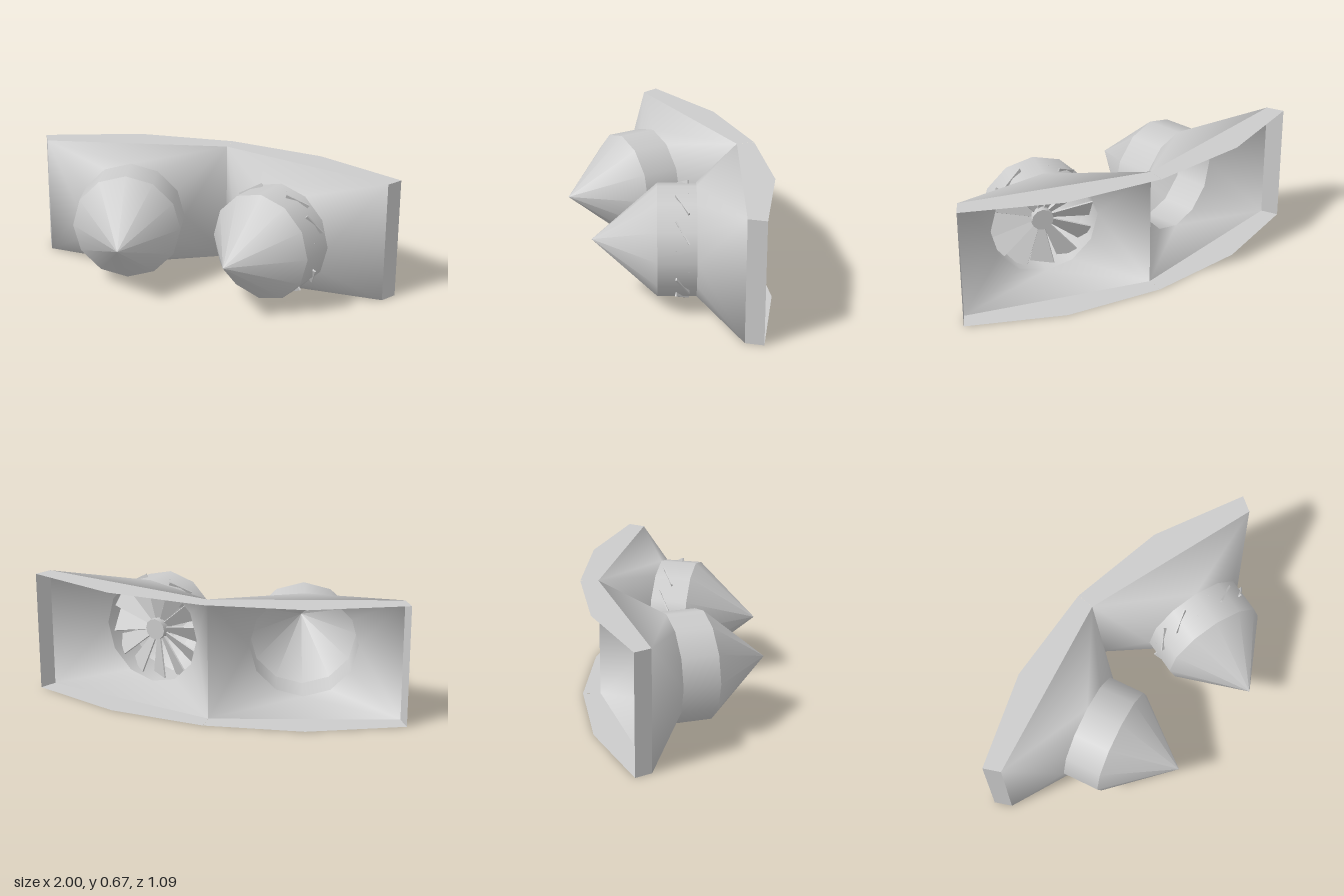
import * as THREE from 'three';

const W = 0.51, H = 0.3325;      // half width and half height of the duct mouth
const R = 0.295, SIDES = 12;     // barrel radius and facets
const MOUTH = -0.38, NECK = -0.15, LIP = 0.05, TIP = 0.39;

const grey = new THREE.MeshStandardMaterial({ color: 0xcccccc, side: THREE.DoubleSide });

function add(parent, name, geometry) {
  const mesh = new THREE.Mesh(geometry, grey);
  mesh.name = name;
  parent.add(mesh);
  return mesh;
}

// Rectangle-to-round transition: a fan at every corner, a triangle on every side
function transitionGeometry() {
  const pos = [W, H, MOUTH, -W, H, MOUTH, -W, -H, MOUTH, W, -H, MOUTH];
  const index = [];
  for (let i = 0; i < SIDES; i++) {
    const a = (i / SIDES) * Math.PI * 2;
    pos.push(R * Math.cos(a), R * Math.sin(a), NECK);
  }
  const ring = i => 4 + (i % SIDES);
  for (let k = 0; k < 4; k++) {
    for (let j = 0; j < 3; j++) index.push(k, ring(k * 3 + j + 1), ring(k * 3 + j));
    index.push(k, (k + 1) % 4, ring(k * 3 + 3));
  }
  const g = new THREE.BufferGeometry();
  g.setAttribute('position', new THREE.Float32BufferAttribute(pos, 3));
  g.setIndex(index);
  g.computeVertexNormals();
  return g;
}

// Thin top/bottom plate with a shallow peaked rear edge
function plateGeometry() {
  const outline = [[-W, -MOUTH], [W, -MOUTH], [0.535, 0.475], [0, 0.55], [-0.535, 0.475]];
  const shape = new THREE.Shape(outline.map(p => new THREE.Vector2(...p)));
  return new THREE.ShapeGeometry(shape).rotateX(-Math.PI / 2).translate(0, H, 0);
}

// Tapered, pitched fan blade pointing up
function bladeGeometry(tip) {
  const root = 0.04;
  const g = new THREE.BoxGeometry(1, tip - root, 0.008);
  const p = g.attributes.position;
  for (let i = 0; i < p.count; i++) p.setX(i, p.getX(i) * (p.getY(i) > 0 ? 0.135 : 0.03));
  g.translate(0, (tip + root) / 2, 0).rotateY(Math.PI / 6);
  g.computeVertexNormals();
  return g;
}

function createFan() {
  const fan = new THREE.Group();
  fan.name = 'fan';
  add(fan, 'fanHub', new THREE.CylinderGeometry(0.06, 0.06, 0.08, SIDES).rotateX(Math.PI / 2));
  for (let i = 0; i < SIDES; i++) {
    const blade = add(fan, 'fanBlade', bladeGeometry(i % 3 ? 0.3 : 0.28));
    blade.rotation.z = (i / SIDES) * Math.PI * 2;
  }
  fan.position.z = -0.077;
  return fan;
}

// One duct with its pointed barrel; side is the end closed by a wall
function createDuct(name, side) {
  const duct = new THREE.Group();
  duct.name = name;
  add(duct, 'transition', transitionGeometry());
  add(duct, 'barrel', new THREE.CylinderGeometry(R, R, LIP - NECK, SIDES, 1, true)
    .rotateX(Math.PI / 2).translate(0, 0, (LIP + NECK) / 2));
  add(duct, 'noseCone', new THREE.ConeGeometry(R, TIP - LIP, SIDES, 1, true)
    .rotateX(Math.PI / 2).translate(0, 0, (TIP + LIP) / 2));
  add(duct, 'topPlate', plateGeometry());
  add(duct, 'bottomPlate', plateGeometry().rotateZ(Math.PI));
  const wall = add(duct, 'endWall', new THREE.PlaneGeometry(Math.hypot(0.025, 0.095), 2 * H));
  wall.position.set(side * 0.5225, 0, -0.4275);
  wall.rotation.y = side * Math.atan2(0.095, 0.025);
  return duct;
}

export function createModel() {
  const model = new THREE.Group();
  model.name = 'twinDuct';

  // Straight duct with the fan
  const left = createDuct('leftDuct', 1);
  left.position.set(0.46, H, 0);
  left.add(createFan());

  // Empty duct, swung 30 degrees about the shared mouth edge
  const hinge = new THREE.Group();
  hinge.name = 'angledSide';
  hinge.position.set(0.46 - W, H, MOUTH);
  hinge.rotation.y = Math.PI / 6;
  const right = createDuct('rightDuct', -1);
  right.position.set(-W, 0, -MOUTH);
  hinge.add(right);

  model.add(left, hinge);
  return model;
}
